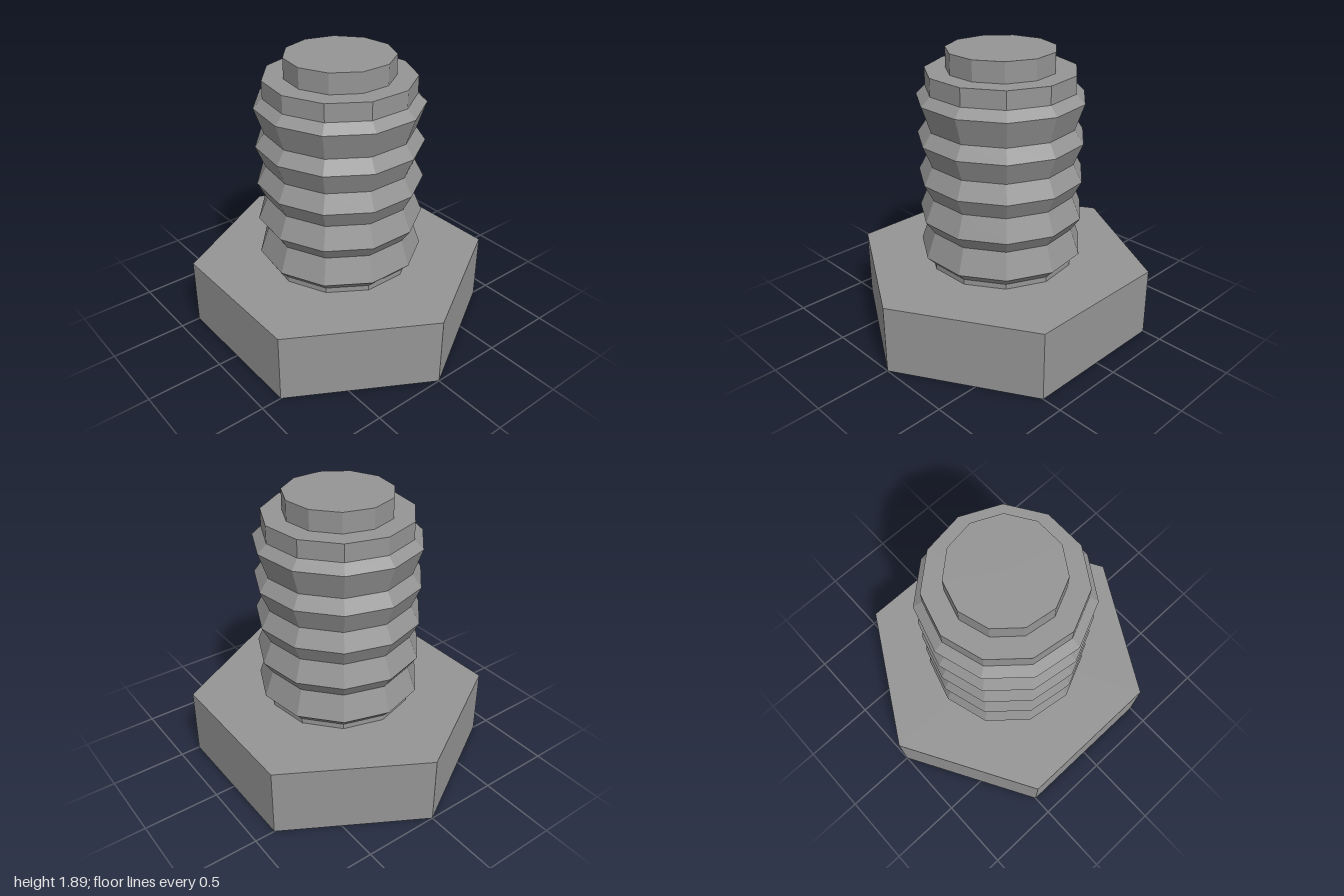
import * as THREE from 'three';

export function createModel() {
  const group = new THREE.Group();
  group.name = 'bolt';
  const material = new THREE.MeshStandardMaterial({ color: 0x959595, flatShading: true });

  const add = (name, geometry, y = 0) => {
    const mesh = new THREE.Mesh(geometry, material);
    mesh.name = name;
    mesh.position.y = y;
    group.add(mesh);
  };

  // Hexagonal head, one corner facing the front
  const headHeight = 0.463;
  add('hexHead', new THREE.CylinderGeometry(1, 1, headHeight, 6), headHeight / 2);

  // Eleven-sided shank: ridges and grooves alternate up the thread
  const root = 0.484, crest = 0.543, tip = 0.35, sides = 11, shankTop = 1.755;
  const threadHeights = [0.498, 0.557, 0.727, 0.813, 0.957, 1.07, 1.183, 1.326, 1.411, 1.583, 1.64];
  const profile = [
    new THREE.Vector2(root, headHeight),
    ...threadHeights.map((y, i) => new THREE.Vector2(i % 2 ? crest : root, y)),
    new THREE.Vector2(root, shankTop),
    new THREE.Vector2(0, shankTop),
  ];
  add('threadedShank', new THREE.LatheGeometry(profile, sides, Math.PI));

  // Narrow end tip
  const tipHeight = 0.131;
  add('endTip', new THREE.CylinderGeometry(tip, tip, tipHeight, sides, 1, false, Math.PI), shankTop + tipHeight / 2);

  return group;
}
